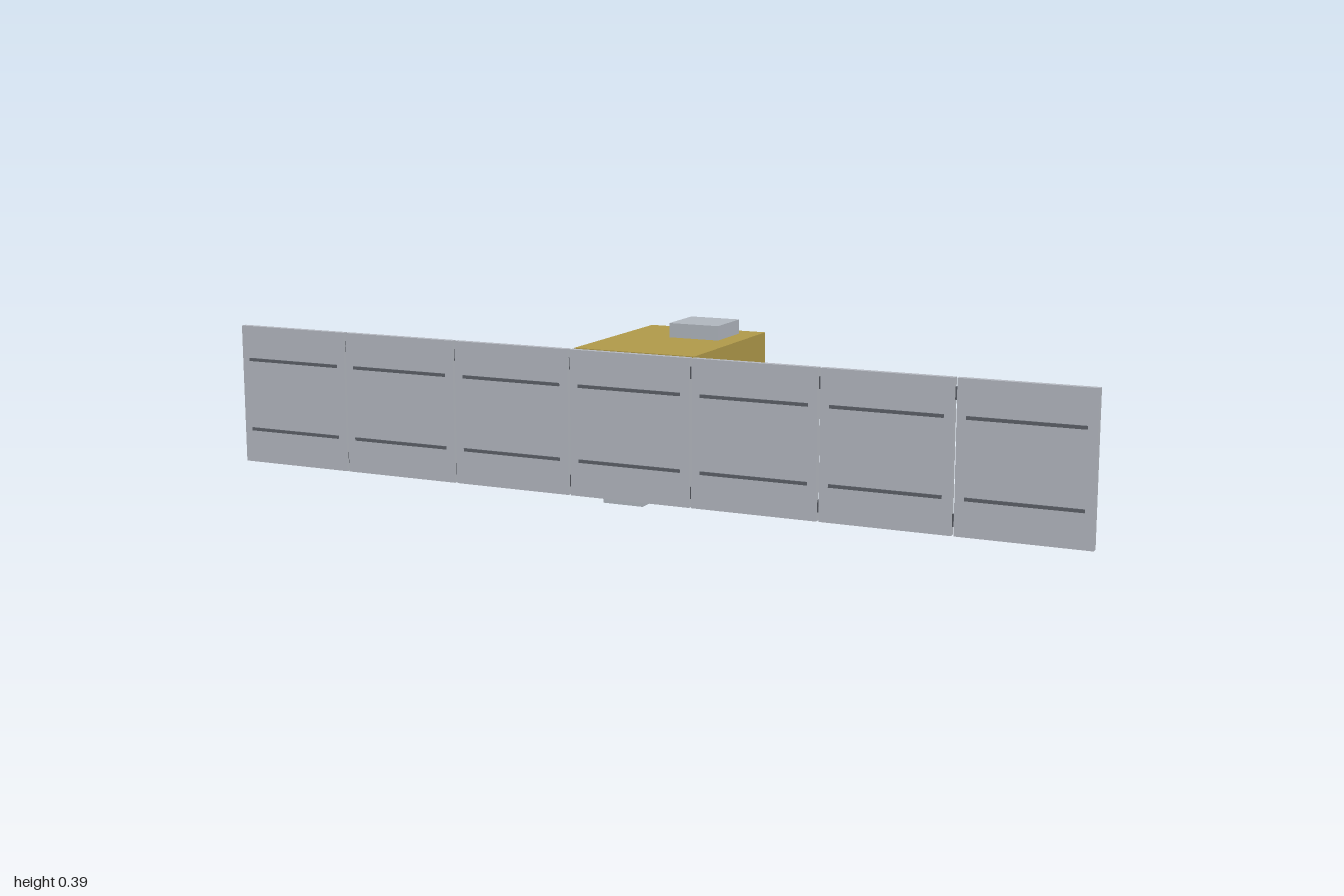
import * as THREE from 'three';

const mat = (color, extra = {}) => new THREE.MeshStandardMaterial({ color, flatShading: true, ...extra });
const GOLD = mat(0xb09a4a), FRAME = mat(0xa86c20), CELL = mat(0x2a4478);
const PANEL = mat(0xb4b8c0), METAL = mat(0x858a94), DARK = mat(0x5c6068), BOXGREY = mat(0xb0b6be);

function add(parent, name, geometry, material, x = 0, y = 0, z = 0) {
  const mesh = new THREE.Mesh(geometry, material);
  mesh.name = name;
  mesh.position.set(x, y, z);
  parent.add(mesh);
  return mesh;
}

// box given by its min and max on each axis
function block(parent, name, material, [x0, x1], [y0, y1], [z0, z1]) {
  return add(parent, name, new THREE.BoxGeometry(x1 - x0, y1 - y0, z1 - z0), material,
    (x0 + x1) / 2, (y0 + y1) / 2, (z0 + z1) / 2);
}

// centres and size of the windows in a lattice
function windows(w, h, cols, rows, border, bar) {
  const cw = (w - 2 * border - (cols - 1) * bar) / cols;
  const ch = (h - 2 * border - (rows - 1) * bar) / rows;
  const list = [];
  for (let i = 0; i < cols; i++) for (let j = 0; j < rows; j++) {
    list.push({ x: -w / 2 + border + cw / 2 + i * (cw + bar), y: -h / 2 + border + ch / 2 + j * (ch + bar), w: cw, h: ch });
  }
  return list;
}

function rect(target, x, y, w, h) {
  target.moveTo(x - w / 2, y - h / 2);
  target.lineTo(x + w / 2, y - h / 2);
  target.lineTo(x + w / 2, y + h / 2);
  target.lineTo(x - w / 2, y + h / 2);
  target.closePath();
  return target;
}

// flat frame with rectangular openings, extruded from z = 0 to depth
function lattice(w, h, openings, depth) {
  const shape = rect(new THREE.Shape(), 0, 0, w, h);
  for (const o of openings) shape.holes.push(rect(new THREE.Path(), o.x, o.y, o.w, o.h));
  return new THREE.ExtrudeGeometry(shape, { depth, bevelEnabled: false });
}

// one wing panel: grey slab, front ribs, framed cells on the back
function solarPanel(w, h) {
  const g = new THREE.Group();
  g.name = 'solarPanel';
  add(g, 'panelSlab', new THREE.BoxGeometry(w, h, 0.014), PANEL, 0, 0, 0.001);
  for (const y of [-0.082, 0.082]) {
    add(g, 'panelRib', new THREE.BoxGeometry(0.24, 0.007, 0.004), DARK, 0, y, 0.0095);
  }
  const openings = windows(w - 0.006, h - 0.006, 2, 2, 0.016, 0.018);
  add(g, 'cellFrame', lattice(w - 0.006, h - 0.006, openings, 0.002), FRAME, 0, 0, -0.008);
  for (const o of openings) {
    add(g, 'solarCell', new THREE.BoxGeometry(o.w, o.h, 0.001), CELL, o.x, o.y, -0.0065);
  }
  return g;
}

export function createModel() {
  const model = new THREE.Group();
  model.name = 'satellite';
  const midY = 0.195, pitch = 0.2865;

  // foil-covered body with equipment boxes
  block(model, 'body', GOLD, [-0.142, 0.142], [0.035, 0.355], [-0.174, 0.213]);
  block(model, 'topBox', BOXGREY, [-0.022, 0.096], [0.355, 0.387], [-0.132, -0.013]);
  block(model, 'bottomBox', BOXGREY, [-0.113, -0.017], [0, 0.035], [-0.002, 0.137]);

  // row of seven panels across the front
  for (let i = -3; i <= 3; i++) {
    const panel = solarPanel(0.281, 0.32);
    panel.position.set(i * pitch, midY, 0.229);
    model.add(panel);
  }

  // hinges behind each seam
  const profile = new THREE.Shape([
    [0, -0.008], [0.011, -0.008], [0.016, -0.003], [0.016, 0.003], [0.011, 0.008], [0, 0.008],
  ].map(([a, b]) => new THREE.Vector2(a, b)));
  const hingeGeo = new THREE.ExtrudeGeometry(profile, { depth: 0.026, bevelEnabled: false });
  hingeGeo.translate(0, 0, -0.013);
  hingeGeo.rotateY(Math.PI / 2);
  for (const i of [-2.5, -1.5, -0.5, 0.5, 1.5, 2.5]) for (const y of [0.066, 0.323]) {
    add(model, 'hinge', hingeGeo, METAL, i * pitch, y, 0.222);
    add(model, 'hingePin', new THREE.CylinderGeometry(0.004, 0.004, 0.026, 8), DARK, i * pitch, y, 0.228);
  }

  // rear panel: grey rim, inner frame and two wide cells
  const rear = new THREE.Group();
  rear.name = 'rearPanel';
  rear.position.set(0, midY, -0.174);
  model.add(rear);
  const w = 0.244, h = 0.263;
  add(rear, 'rearRim', lattice(w, h, [{ x: 0, y: 0, w: w - 0.008, h: h - 0.008 }], 0.009), METAL, 0, 0, -0.009);
  const openings = windows(w - 0.008, h - 0.008, 1, 2, 0.012, 0.016);
  add(rear, 'rearFrame', lattice(w - 0.008, h - 0.008, openings, 0.008), FRAME, 0, 0, -0.008);
  for (const o of openings) {
    add(rear, 'rearCell', new THREE.BoxGeometry(o.w, o.h, 0.001), CELL, o.x, o.y, -0.0005);
  }

  // tapered thruster on the rear face
  const cone = add(model, 'thruster', new THREE.CylinderGeometry(0.008, 0.022, 0.064, 8), BOXGREY, 0.08, 0.073, -0.206);
  cone.rotation.x = -Math.PI / 2;

  return model;
}
